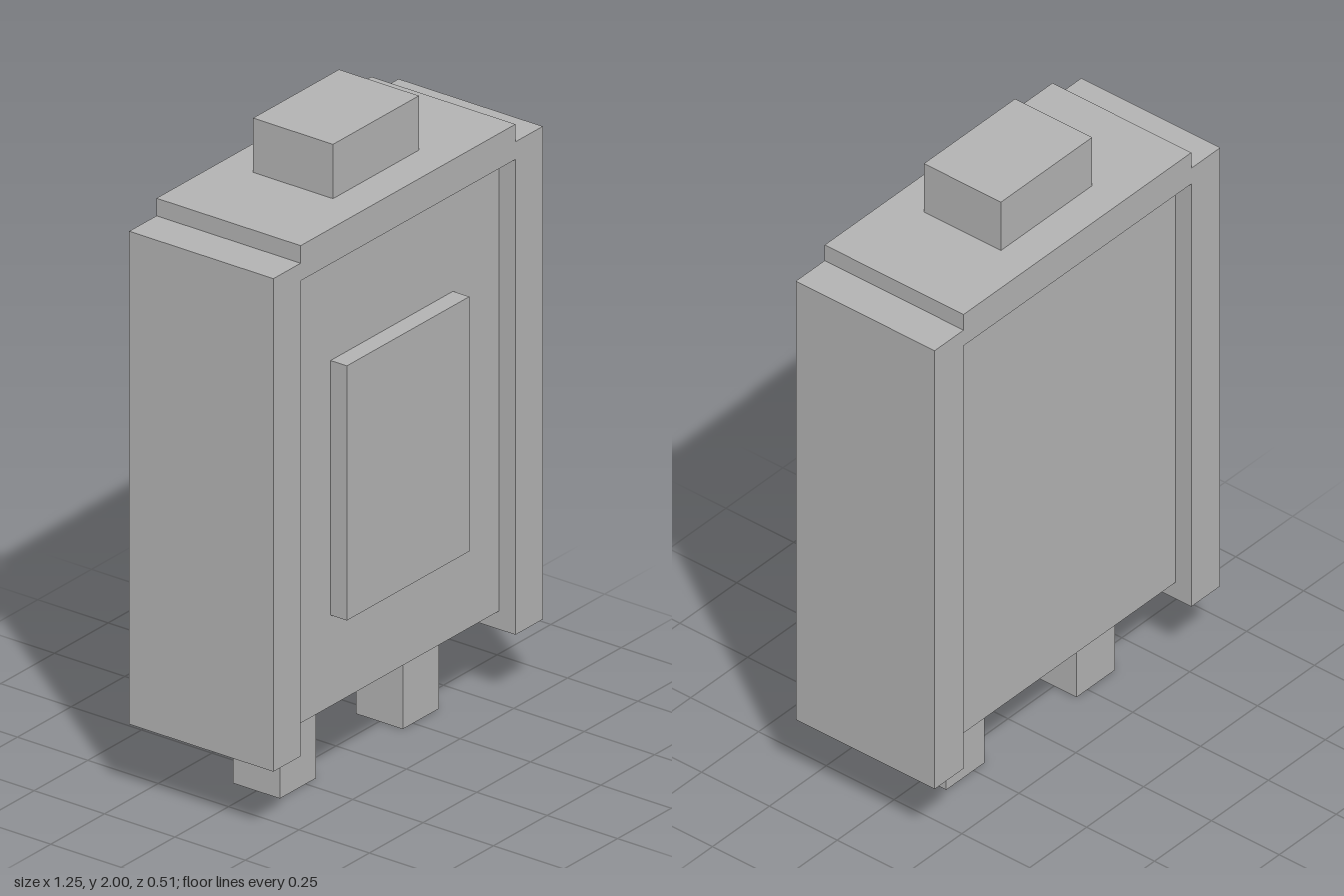
import * as THREE from 'three';

export function createModel() {
  const group = new THREE.Group();
  const grey = new THREE.MeshStandardMaterial({ color: 0xb2b2b2 });
  grey.name = 'plain grey';

  // Box given by its limits on each axis
  function box(name, [x0, x1], [y0, y1], [z0, z1]) {
    const mesh = new THREE.Mesh(new THREE.BoxGeometry(x1 - x0, y1 - y0, z1 - z0), grey);
    mesh.position.set((x0 + x1) / 2, (y0 + y1) / 2, (z0 + z1) / 2);
    mesh.name = name;
    group.add(mesh);
  }

  const depth = 0.256;  // half depth of the frame
  const recess = 0.198; // half depth of the sunken body

  // Body, lid and the cap on top
  box('body', [-0.5, 0.5], [0.29, 1.72], [-recess, recess]);
  box('lid', [-0.5, 0.5], [1.72, 1.83], [-depth, depth]);
  box('cap', [-0.2, 0.2], [1.83, 2], [-0.142, 0.142]);

  // Raised panel on the front only
  box('frontPanel', [-0.285, 0.285], [0.575, 1.372], [recess, depth]);

  // Side walls and legs, mirrored
  for (const [side, s] of [['left', 1], ['right', -1]]) {
    const span = (a, b) => (s > 0 ? [a, b] : [-b, -a]);
    box(side + 'Wall', span(0.5, 0.627), [0.232, 1.775], [-depth, depth]);
    box(side + 'Leg', span(0.202, 0.37), [0, 0.29], [-0.083, 0.083]);
  }

  return group;
}
